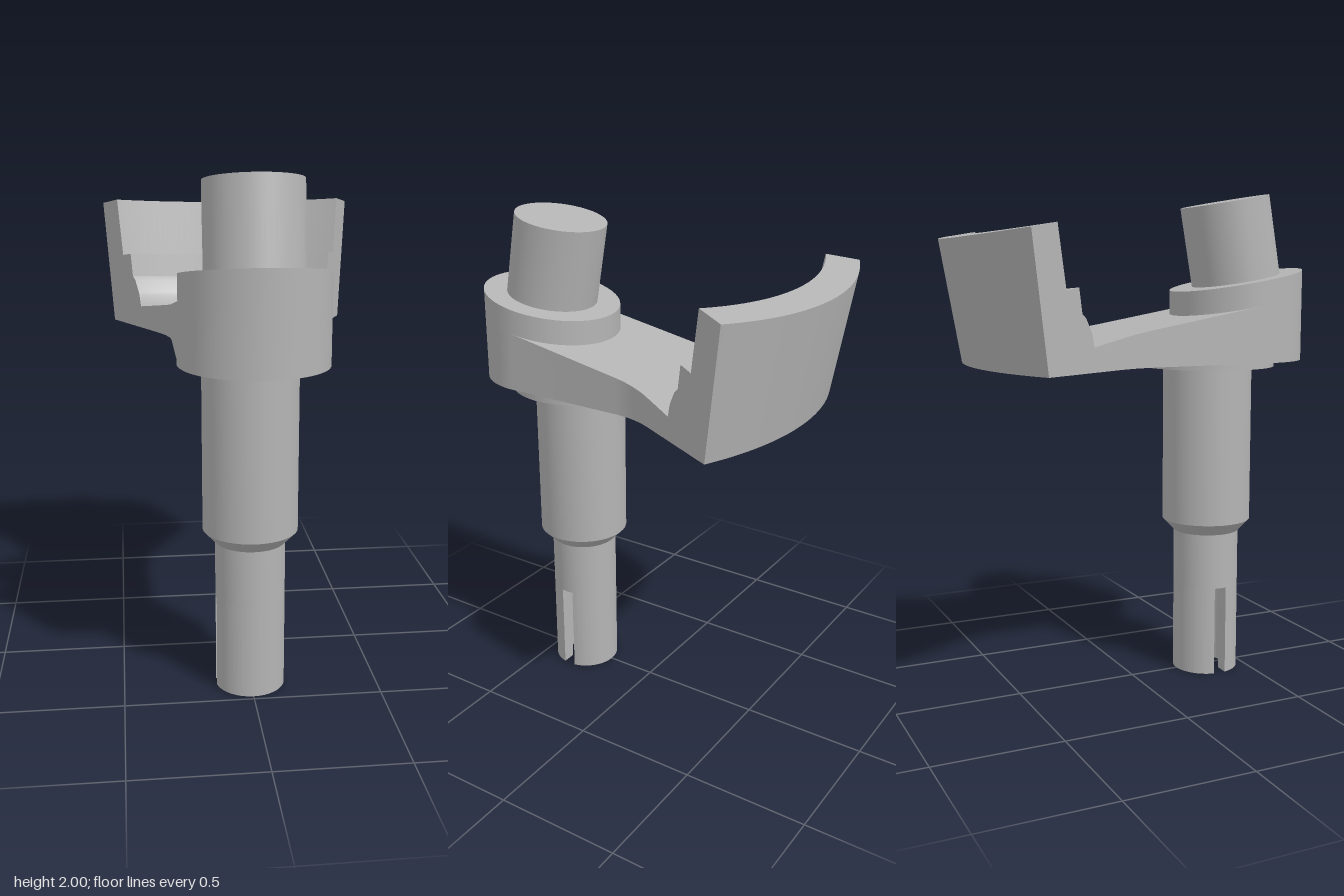
import * as THREE from 'three';
import { toCreasedNormals } from 'three/addons/utils/BufferGeometryUtils.js';

const TILT = THREE.MathUtils.degToRad(10);
const S = Math.sin(TILT), C = Math.cos(TILT);
const PIN_Y = 1.65, PIN_Z = 0.475;   // where the tilted pin axis meets the hub top
const SHAFT_Z = 0.345;               // axis of the upright shaft
const BASE = 1.32;                   // underside of the arm
const R = 0.275;                     // hub radius and half arm width

// world height of a tilted plane h above the hub top
const planeY = (h, z) => PIN_Y + (h + (z - PIN_Z) * S) / C;
// half width of the fan at depth z
const fanX = (z) => 0.52 * (0.418 - z);

// moves the upper vertices onto a tilted plane and the lower ones to the base
function slantTop(geo, h) {
  const p = geo.attributes.position;
  for (let i = 0; i < p.count; i++) {
    p.setY(i, p.getY(i) > 0.5 ? planeY(h, p.getZ(i)) : BASE);
  }
  return geo;
}

// point of the weight: radius r round the pin axis, level h (null = base), t from -1 to 1
function weightPoint(r, h, t) {
  let x = 0, y = 0, z = -0.5;
  for (let n = 0; n < 25; n++) {
    x = fanX(z) * t;
    const d = Math.sqrt(r * r - x * x);
    const level = h === null ? (BASE - PIN_Y + d * S) / C : h;
    z = PIN_Z - level * S - d * C;
    y = PIN_Y + level * C - d * S;
  }
  return [x, y, z];
}

// stepped section swept along the fan
function weightGeometry() {
  const section = [
    [1.176, null], [1.176, 0.363], [1.043, 0.363], [1.036, 0.128], [0.968, 0.128],
    [0.966, 0.034], [0.948, 0.015], [0.928, -0.035], [0.924, -0.05], [0.92, -0.096], [0.92, null],
  ];
  const steps = 40, n = section.length, pos = [], idx = [];
  for (let i = 0; i <= steps; i++) {
    for (const [r, h] of section) pos.push(...weightPoint(r, h, (2 * i) / steps - 1));
  }
  for (let i = 0; i < steps; i++) {
    for (let k = 0; k < n; k++) {
      const a = i * n + k, b = i * n + ((k + 1) % n);
      idx.push(a, b, a + n, b, b + n, a + n);
    }
  }
  const outline = section.map(([r, h]) => {
    const [, y, z] = weightPoint(r, h, 1);
    return new THREE.Vector2(-z, y);
  });
  for (const [a, b, c] of THREE.ShapeUtils.triangulateShape(outline, [])) {
    idx.push(steps * n + a, steps * n + b, steps * n + c, a, c, b);
  }
  const geo = new THREE.BufferGeometry();
  geo.setAttribute('position', new THREE.Float32BufferAttribute(pos, 3));
  geo.setIndex(idx);
  return geo;
}

// plan of the arm, drawn with shape y = -z
function armGeometry() {
  const s = new THREE.Shape();
  const end = 0.36;
  s.moveTo(-R, -PIN_Z);
  s.lineTo(R, -PIN_Z);
  s.lineTo(R, 0.02);
  s.quadraticCurveTo(R, 0.111, fanX(-0.2), 0.2);
  s.lineTo(fanX(-end), end);
  s.quadraticCurveTo(0, 0.56, -fanX(-end), end);
  s.lineTo(-fanX(-0.2), 0.2);
  s.quadraticCurveTo(-R, 0.111, -R, 0.02);
  s.closePath();
  const geo = new THREE.ExtrudeGeometry(s, { depth: 1, bevelEnabled: false, curveSegments: 16 });
  return slantTop(geo.rotateX(-Math.PI / 2), -0.096);
}

// one half of the slotted, hollow shaft end
function prongGeometry(height) {
  const outer = 0.136, inner = 0.08, half = 0.026;
  const a = Math.asin(half / outer), b = Math.asin(half / inner);
  const s = new THREE.Shape();
  s.absarc(0, 0, outer, a, Math.PI - a, false);
  s.absarc(0, 0, inner, Math.PI - b, b, true);
  s.closePath();
  return new THREE.ExtrudeGeometry(s, { depth: height, bevelEnabled: false, curveSegments: 28 })
    .rotateX(-Math.PI / 2);
}

export function createModel() {
  const group = new THREE.Group();
  const metal = new THREE.MeshStandardMaterial({ color: 0xb4b4b4 });
  metal.name = 'grey metal';

  const add = (name, geo, x = 0, y = 0, z = 0) => {
    const mesh = new THREE.Mesh(toCreasedNormals(geo, 0.4), metal);
    mesh.name = name;
    mesh.position.set(x, y, z);
    group.add(mesh);
    return mesh;
  };

  // upright shaft with a chamfered shoulder
  const slotTop = 0.37;
  const profile = [[0, slotTop], [0.136, slotTop], [0.136, 0.6], [0.184, 0.65], [0.184, 1.3], [0, 1.3]]
    .map(([r, y]) => new THREE.Vector2(r, y));
  add('shaft', new THREE.LatheGeometry(profile, 56), 0, 0, SHAFT_Z);

  // slotted end
  for (const [name, turn] of [['backProng', 0], ['frontProng', Math.PI]]) {
    add(name, prongGeometry(slotTop), 0, 0, SHAFT_Z).rotation.y = turn;
  }

  // thin thrust flange under the arm
  add('flange', new THREE.CylinderGeometry(R, R, 0.03, 64), 0, 1.311, SHAFT_Z);

  // hub with a slanted top
  const hub = new THREE.CylinderGeometry(R, R, 1, 64).translate(0, 0.5, PIN_Z);
  add('hub', slantTop(hub, 0));

  // tilted pin
  const pin = new THREE.CylinderGeometry(0.184, 0.184, 0.363, 56).translate(0, 0.1415, 0);
  add('pin', pin, 0, PIN_Y, PIN_Z).rotation.x = -TILT;

  add('arm', armGeometry());
  add('counterweight', weightGeometry());
  return group;
}
